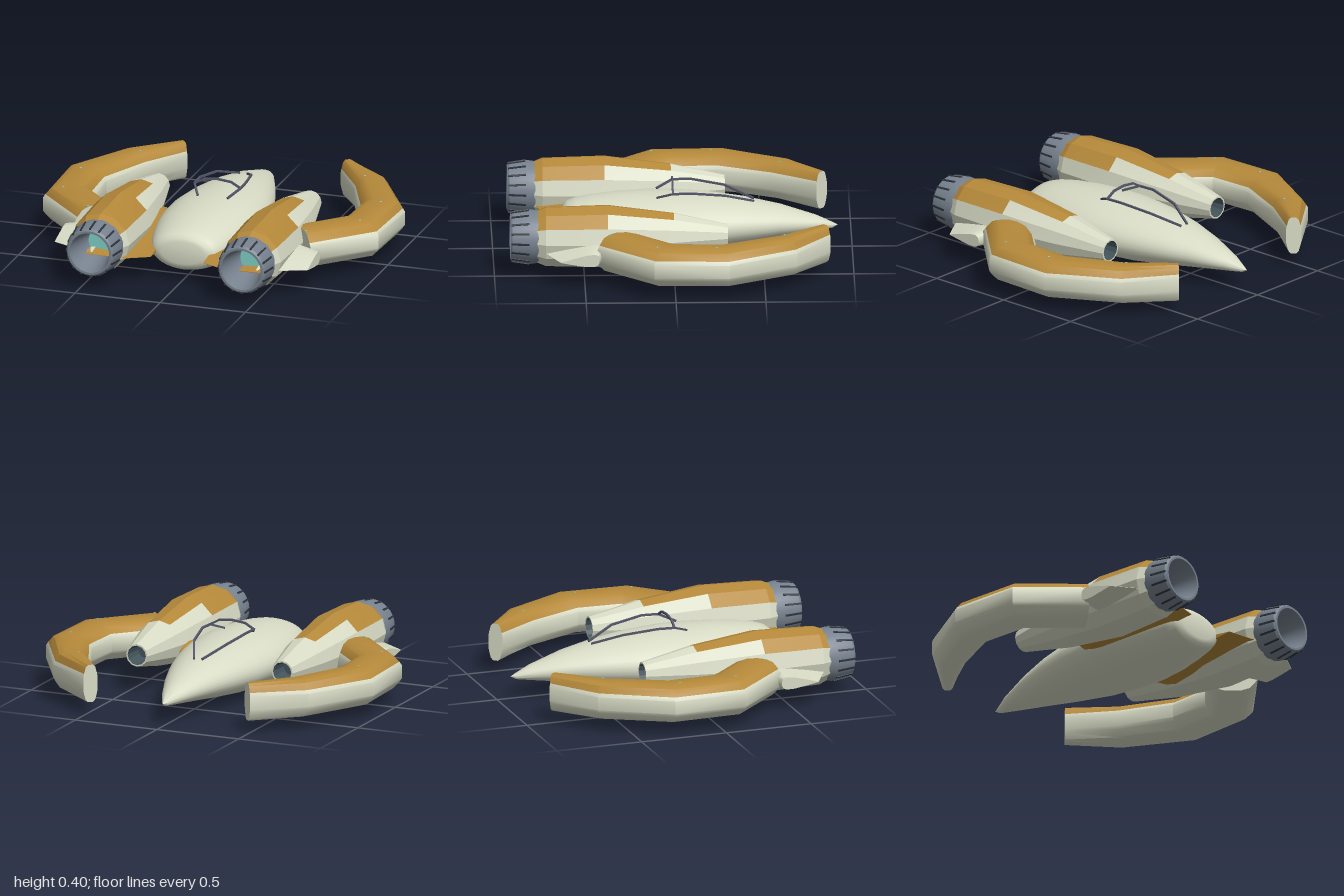
import * as THREE from 'three';
import { toCreasedNormals } from 'three/addons/utils/BufferGeometryUtils.js';

const mat = (name, color) => new THREE.MeshStandardMaterial({ name, color });
const cream = mat('cream hull', 0xd8dbc5);
const ochre = mat('ochre paint', 0xb5893a);
const steel = mat('steel nozzle', 0x77828f);
const dark = mat('dark slots', 0x2f343c);
const rod = mat('canopy rod', 0x55576a);
const glow = mat('engine glow', 0x7cccc4);
const intake = mat('intake interior', 0x44545c);

// Skins a list of rings; paint(i, k) picks a material, i is 'start' or 'end' on the caps.
function loft(name, rings, materials, { paint = () => 0, crease = 0.7, start = true, end = true } = {}) {
  const buckets = materials.map(() => []);
  const n = rings[0].length;
  const add = (m, a, b, c) => {
    const area = b.clone().sub(a).cross(c.clone().sub(a)).length();
    if (area > 1e-9) buckets[m].push([a, b, c]);
  };
  for (let i = 0; i < rings.length - 1; i++) {
    for (let k = 0; k < n; k++) {
      const [a, b] = [rings[i][k], rings[i][(k + 1) % n]];
      const [c, d] = [rings[i + 1][(k + 1) % n], rings[i + 1][k]];
      add(paint(i, k), a, b, c);
      add(paint(i, k), a, c, d);
    }
  }
  const cap = (ring, id, flip) => {
    const mid = ring.reduce((s, p) => s.add(p), new THREE.Vector3()).divideScalar(n);
    ring.forEach((p, k) => {
      const q = ring[(k + 1) % n];
      if (flip) add(paint(id, k), mid, q, p);
      else add(paint(id, k), mid, p, q);
    });
  };
  if (start) cap(rings[0], 'start', true);
  if (end) cap(rings[rings.length - 1], 'end', false);

  // turn all faces outward, judged by the enclosed volume
  const all = buckets.flat();
  const centre = all.reduce((s, t) => s.add(t[0]), new THREE.Vector3()).divideScalar(all.length);
  const rel = (p) => p.clone().sub(centre);
  const volume = all.reduce((s, [a, b, c]) => s + rel(a).dot(rel(b).cross(rel(c))), 0);
  if (volume < 0) all.forEach((t) => t.reverse());

  let geo = new THREE.BufferGeometry().setFromPoints(buckets.flat(2));
  if (crease) geo = toCreasedNormals(geo, crease);
  else geo.computeVertexNormals();
  let at = 0;
  buckets.forEach((b, m) => {
    if (b.length) geo.addGroup(at, b.length * 3, m);
    at += b.length * 3;
  });
  const mesh = new THREE.Mesh(geo, materials);
  mesh.name = name;
  return mesh;
}

// Ellipse ring in the xy plane, starting at the top
function oval(x, y, z, rx, ry, n) {
  return Array.from({ length: n }, (_, k) => {
    const a = (k / n) * Math.PI * 2;
    return new THREE.Vector3(x + Math.sin(a) * rx, y + Math.cos(a) * ry, z);
  });
}

// Wing section in the zy plane: blunt in front, sharp behind
function airfoil(x, lead, trail, y, half) {
  const top = [[0, 0.35], [0.03, 0.75], [0.12, 1], [0.35, 0.9], [0.7, 0.45], [1, 0.02]];
  const outline = [...top, ...top.map(([t, v]) => [t, -v]).reverse()];
  return outline.map(([t, v]) => new THREE.Vector3(x, y + v * half - 0.012 * t, lead + (trail - lead) * t));
}

// Thin square bar running through points
function bars(name, points) {
  const group = new THREE.Group();
  group.name = name;
  for (let i = 0; i < points.length - 1; i++) {
    const a = new THREE.Vector3(...points[i]);
    const b = new THREE.Vector3(...points[i + 1]);
    const bar = new THREE.Mesh(new THREE.BoxGeometry(0.011, 0.011, a.distanceTo(b) + 0.006), rod);
    bar.position.copy(a).add(b).multiplyScalar(0.5);
    bar.lookAt(b);
    group.add(bar);
  }
  return group;
}

// Fuselage: z, half width, bottom, top
function fuselage() {
  const stations = [
    [-0.92, 0.001, 0.129, 0.131], [-0.89, 0.018, 0.112, 0.146], [-0.8, 0.062, 0.1, 0.185],
    [-0.6, 0.138, 0.074, 0.245], [-0.4, 0.204, 0.045, 0.285], [-0.2, 0.256, 0.02, 0.31],
    [0, 0.285, 0.008, 0.322], [0.15, 0.286, 0.003, 0.322], [0.3, 0.267, 0.01, 0.315],
    [0.45, 0.233, 0.028, 0.3], [0.54, 0.207, 0.046, 0.283], [0.585, 0.186, 0.06, 0.268],
    [0.607, 0.16, 0.078, 0.25], [0.614, 0.125, 0.1, 0.23]];
  const rings = stations.map(([z, w, lo, hi]) => oval(0, (lo + hi) / 2, z, w, (hi - lo) / 2, 32));
  return loft('fuselage', rings, [cream], { crease: 0.9 });
}

// Engine pod with intake, nozzle, slots and glow
function engine(s) {
  const g = new THREE.Group();
  g.name = s > 0 ? 'leftEngine' : 'rightEngine';
  const x = 0.445 * s, y = 0.215;
  const pod = [[-0.18, 0.045], [-0.3, 0.056], [-0.3, 0.065], [0, 0.13], [0.37, 0.178], [0.715, 0.168], [0.765, 0.147]];
  g.add(loft('pod', pod.map(([z, r]) => oval(x, y, z, r, r, 12)), [cream, ochre, intake], {
    crease: 0.2,
    end: false,
    paint: (i, k) => {
      if (i === 'start' || i === 0) return 2;
      const fromTop = Math.min(k, 11 - k);
      return (i === 3 && fromTop < 1) || (i >= 4 && fromTop < 2) ? 1 : 0;
    },
  }));
  const nozzle = [[0.69, 0.142], [0.76, 0.147], [0.8, 0.153], [0.9, 0.138], [0.912, 0.128], [0.912, 0.116], [0.7, 0.076]];
  g.add(loft('nozzle', nozzle.map(([z, r]) => oval(x, y, z, r, r, 32)), [steel, glow], {
    crease: 0.5,
    paint: (i) => (i === 'end' ? 1 : 0),
  }));
  for (let k = 0; k < 16; k++) {
    const spoke = new THREE.Group();
    spoke.name = 'nozzleSlot';
    const slot = new THREE.Mesh(new THREE.BoxGeometry(0.011, 0.009, 0.1), dark);
    slot.position.set(0, 0.144, 0.856);
    slot.rotation.x = 0.15;
    spoke.add(slot);
    spoke.position.set(x, y, 0);
    spoke.rotation.z = (k / 16) * Math.PI * 2;
    g.add(spoke);
  }
  return g;
}

// Curved claw arm: inner x, z and outer x, z at each station
function claw(s) {
  const g = new THREE.Group();
  g.name = s > 0 ? 'leftClaw' : 'rightClaw';
  const path = [
    [0.45, -0.81, 0.51, -0.87], [0.61, -0.56, 0.78, -0.68], [0.74, -0.26, 1, -0.3],
    [0.73, -0.01, 0.985, 0.12], [0.51, 0.22, 0.69, 0.43]];
  const half = [[1, 0.35], [0.9, 0.54], [0.66, 0.88], [0.35, 1]];
  const upper = [...half, ...half.map(([u, v]) => [-u, v]).reverse()];
  const section = [...upper, ...upper.map(([u, v]) => [u, -v]).reverse()];
  const rings = path.map(([ix, iz, ox, oz]) => section.map(([u, v]) => {
    const t = (u + 1) / 2;
    return new THREE.Vector3(s * (ix + (ox - ix) * t), 0.178 + v * 0.107, iz + (oz - iz) * t);
  }));
  g.add(loft('clawArm', rings, [cream, ochre], {
    crease: 0.6,
    paint: (i, k) => (typeof i === 'number' && k >= 1 && k <= 5 ? 1 : 0),
  }));
  // small marker lights on the upper face
  for (const [x, z] of [[0.66, -0.61], [0.88, -0.23], [0.87, 0.1], [0.64, 0.36]]) {
    const light = new THREE.Mesh(new THREE.CylinderGeometry(0.007, 0.007, 0.008, 8), glow);
    light.name = 'markerLight';
    light.position.set(s * x, 0.283, z);
    g.add(light);
  }
  return g;
}

export function createModel() {
  const model = new THREE.Group();
  model.name = 'spacecraft';
  model.add(fuselage());
  for (const s of [1, -1]) {
    model.add(engine(s), claw(s));
    // inner wing joining pod to fuselage
    model.add(loft('innerWing', [
      airfoil(0.155 * s, 0.25, 0.71, 0.17, 0.032), airfoil(0.29 * s, 0.0, 0.75, 0.16, 0.062),
      airfoil(0.51 * s, 0.05, 0.785, 0.175, 0.07)], [ochre]));
    // outer stub fin
    model.add(loft('outerFin', [
      airfoil(0.48 * s, 0.34, 0.76, 0.178, 0.055), airfoil(0.61 * s, 0.38, 0.71, 0.175, 0.048),
      airfoil(0.742 * s, 0.42, 0.635, 0.168, 0.036)], [cream]));
    // canopy side rail
    model.add(bars('canopyRail', [
      [0.025 * s, 0.28, -0.45], [0.1 * s, 0.335, -0.29], [0.135 * s, 0.36, -0.1],
      [0.135 * s, 0.357, 0], [0.088 * s, 0.322, 0.085]]));
  }
  // canopy hoop
  model.add(bars('canopyHoop', [
    [-0.135, 0.357, 0], [-0.08, 0.388, 0], [0, 0.397, 0], [0.08, 0.388, 0], [0.135, 0.357, 0]]));
  return model;
}
